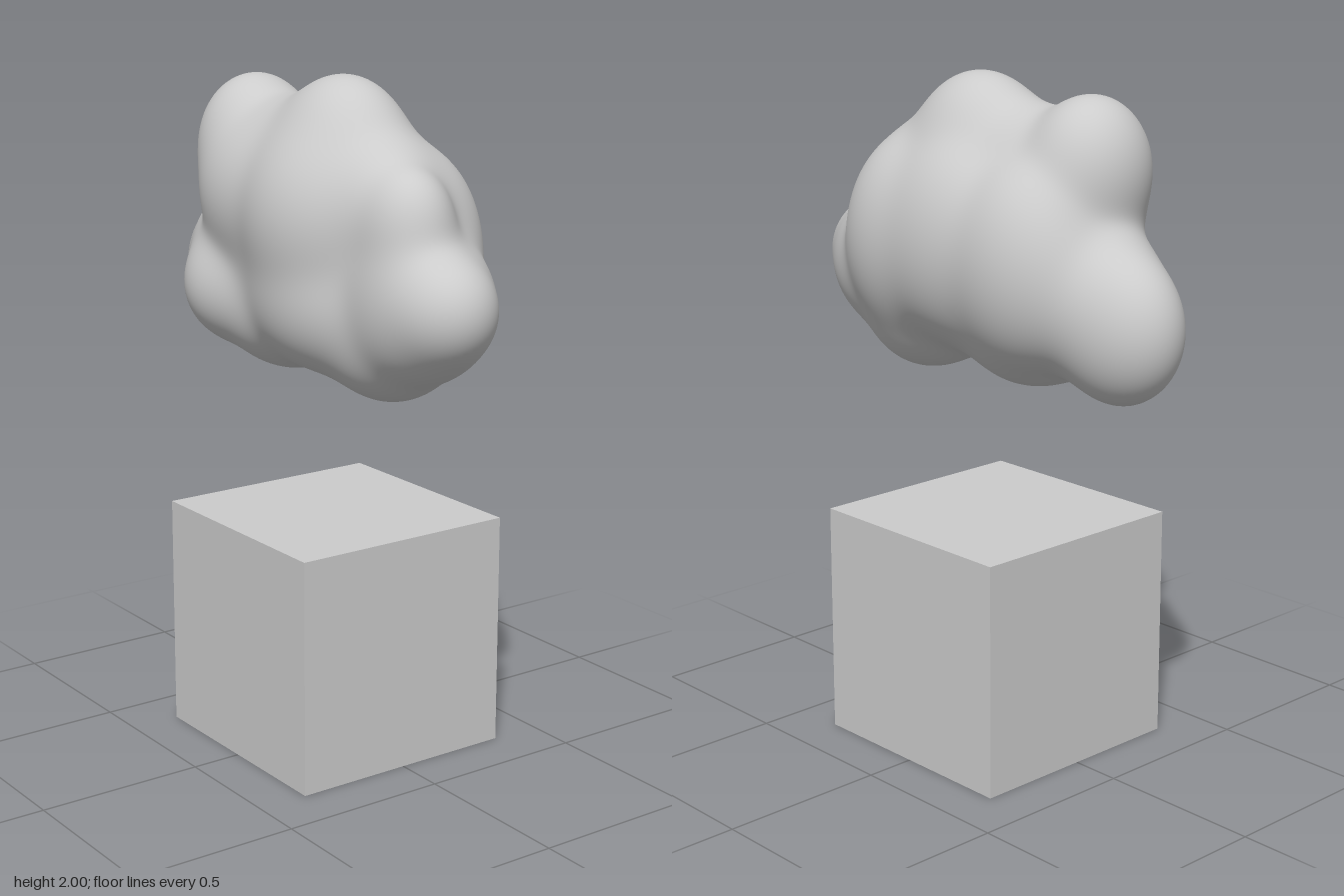
import * as THREE from 'three';
import { mergeVertices } from 'three/addons/utils/BufferGeometryUtils.js';

const CENTRE = new THREE.Vector3(0, 1.48, 0);
const BLEND = 0.034;

// Puffs of the cloud: centre x, y, z, then radii x, y, z
const CORE = [
  [0, 1.45, 0, 0.4, 0.25, 0.22],          // heart
  [-0.13, 1.71, 0.03, 0.2, 0.2, 0.17],    // saddle between the two tops
  [0.28, 1.65, 0.02, 0.15, 0.18, 0.16],   // left slope
  [-0.41, 1.42, 0.0, 0.17, 0.2, 0.18],    // right neck
  [0.44, 1.4, -0.03, 0.16, 0.18, 0.15],   // left neck
];
const FRONT = [
  [0.08, 1.6, 0.07, 0.26, 0.27, 0.23],    // middle
  [0.1, 1.36, 0.1, 0.24, 0.19, 0.17],     // lower middle
  [-0.2, 1.63, 0.11, 0.21, 0.2, 0.16],    // upper right side
  [-0.32, 1.35, 0.11, 0.16, 0.17, 0.17],  // lower right side
  [0.42, 1.43, 0.08, 0.16, 0.18, 0.11],   // left shoulder
];
const BACK = [
  [0.25, 1.51, -0.1, 0.2, 0.28, 0.18],    // left side
  [0.02, 1.53, -0.12, 0.25, 0.27, 0.17],  // middle
  [-0.25, 1.5, -0.11, 0.22, 0.28, 0.18],  // right side
];
const RIM = [
  [0.08, 1.745, 0.02, 0.22, 0.25, 0.18],  // crown
  [-0.34, 1.765, 0.04, 0.16, 0.2, 0.17],  // second top
  [-0.52, 1.35, -0.02, 0.19, 0.21, 0.15], // right end
  [-0.15, 1.29, 0.03, 0.19, 0.17, 0.2],   // underside middle
  [0.28, 1.26, 0, 0.18, 0.16, 0.17],      // underside left side
  [0.46, 1.34, 0.03, 0.14, 0.13, 0.12],   // lower left corner
  [0.43, 1.63, 0.06, 0.12, 0.14, 0.11],   // upper left side
  [0.57, 1.41, 0.04, 0.14, 0.14, 0.13],   // left end
];
const PUFFS = [...CORE, ...FRONT, ...BACK, ...RIM];

// Smooth union of the ellipsoid puffs; negative inside
function field(p) {
  let sum = 0;
  for (const [x, y, z, a, b, c] of PUFFS) {
    const u = (p.x - x) / a, v = (p.y - y) / b, w = (p.z - z) / c;
    const k0 = Math.hypot(u, v, w);
    const k1 = Math.hypot(u / a, v / b, w / c) + 1e-6;
    sum += Math.exp(-(k0 * (k0 - 1)) / k1 / BLEND);
  }
  return -BLEND * Math.log(sum + 1e-300);
}

// A fine sphere whose vertices are pulled in along rays onto the blended puffs
function cloudGeometry() {
  let geo = new THREE.IcosahedronGeometry(1, 44);
  geo.deleteAttribute('normal');
  geo.deleteAttribute('uv');
  geo = mergeVertices(geo, 1e-5);
  const pos = geo.attributes.position;
  const dir = new THREE.Vector3(), p = new THREE.Vector3();
  const at = (t) => p.copy(CENTRE).addScaledVector(dir, t);
  for (let i = 0; i < pos.count; i++) {
    dir.fromBufferAttribute(pos, i);
    dir.set(dir.x, dir.y * 0.68, dir.z * 0.5);
    let outer = 1.2;
    while (outer > 0.1 && field(at(outer - 0.02)) > 0) outer -= 0.02;
    let inner = outer - 0.02;
    for (let n = 0; n < 14; n++) {
      const mid = (inner + outer) / 2;
      if (field(at(mid)) > 0) outer = mid; else inner = mid;
    }
    at(inner);
    pos.setXYZ(i, p.x, p.y, p.z);
  }
  geo.computeVertexNormals();
  return geo;
}

export function createModel() {
  const group = new THREE.Group();
  const material = new THREE.MeshStandardMaterial({ color: 0xcccccc });

  const block = new THREE.Mesh(new THREE.BoxGeometry(0.7, 0.7, 0.7), material);
  block.name = 'block';
  block.position.y = 0.35;

  const cloud = new THREE.Mesh(cloudGeometry(), material);
  cloud.name = 'cloud';

  group.add(block, cloud);
  return group;
}
